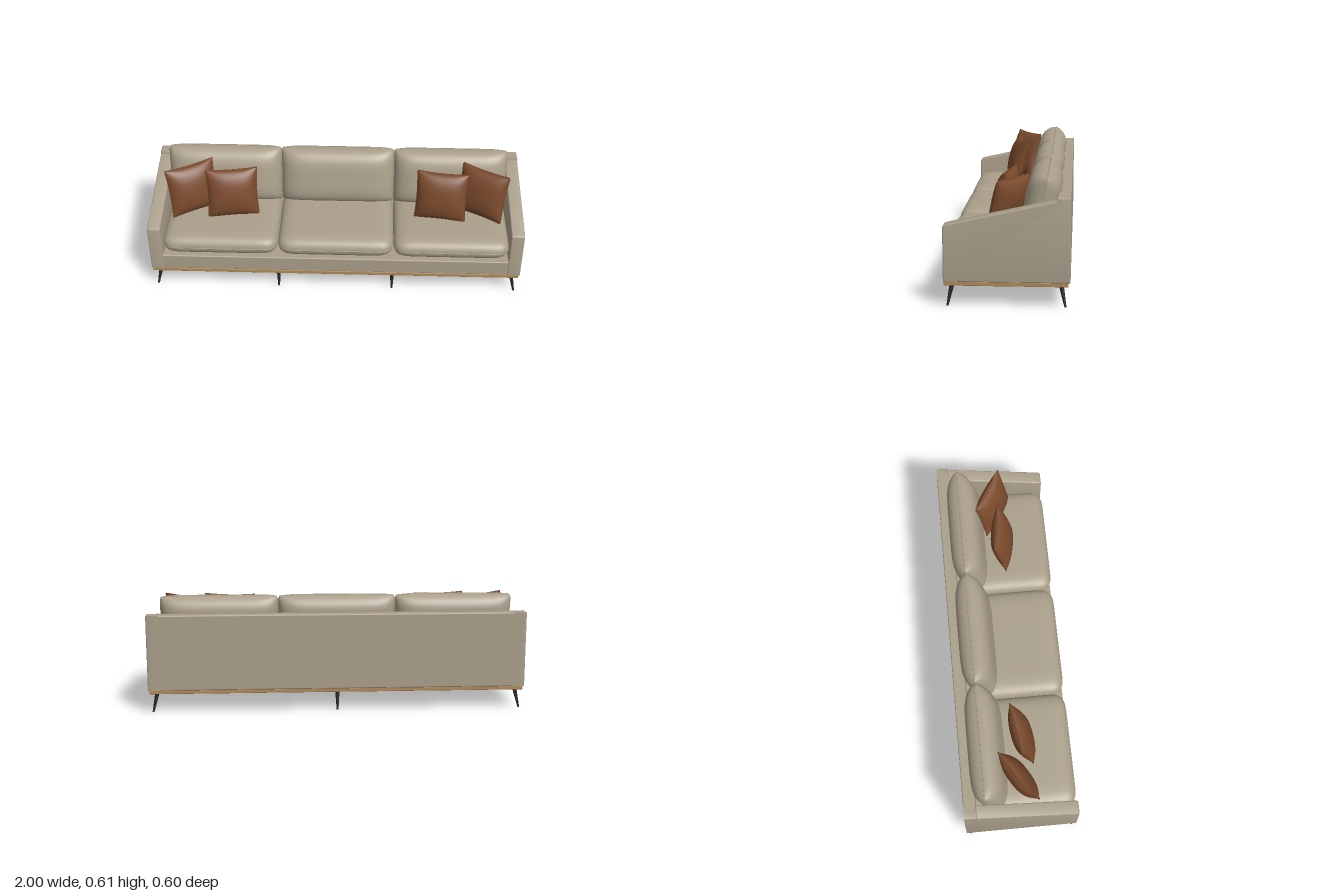
import * as THREE from 'three';
import { mergeGeometries, mergeVertices, toCreasedNormals } from 'three/addons/utils/BufferGeometryUtils.js';
import { RoundedBoxGeometry } from 'three/addons/geometries/RoundedBoxGeometry.js';

const material = (name, color) => {
  const m = new THREE.MeshStandardMaterial({ color });
  m.name = name;
  return m;
};

export function createModel() {
  const fabric = material('beige fabric', 0xaa9f8b);
  const leather = material('brown leather', 0x7a4a2c);
  const wood = material('oak wood', 0xb08a5a);
  const black = material('black metal', 0x242424);

  const sofa = new THREE.Group();
  sofa.name = 'sofa';

  const add = (parent, name, geometry, mat) => {
    const mesh = new THREE.Mesh(geometry, mat);
    mesh.name = name;
    parent.add(mesh);
    return mesh;
  };
  // Rounded box given by its limits on each axis
  const box = (name, mat, [x0, x1], [y0, y1], [z0, z1], r) => {
    const mesh = add(sofa, name, new RoundedBoxGeometry(x1 - x0, y1 - y0, z1 - z0, 3, r), mat);
    mesh.position.set((x0 + x1) / 2, (y0 + y1) / 2, (z0 + z1) / 2);
  };

  // Stuffed cushion standing in the xy plane, with piping round its seam
  function cushion(name, mat, { w, h, d, px, py, q = 0.5, pinch = 0, round = 0, pipe = 0.003 }) {
    const place = (u, v) => new THREE.Vector3(
      w / 2 * u * (1 - pinch * (1 - v * v) - round / w * 2 * Math.abs(v) ** 14),
      h / 2 * v * (1 - pinch * (1 - u * u) - round / h * 2 * Math.abs(u) ** 14),
      d / 2 * Math.max(0, (1 - Math.abs(u) ** px) * (1 - Math.abs(v) ** py)) ** q);
    const front = new THREE.PlaneGeometry(2, 2, 36, 36);
    front.deleteAttribute('uv');
    front.deleteAttribute('normal');
    const pos = front.attributes.position;
    const ease = (s) => Math.sin(s * Math.PI / 2);
    for (let i = 0; i < pos.count; i++) {
      const p = place(ease(pos.getX(i)), ease(pos.getY(i)));
      pos.setXYZ(i, p.x, p.y, p.z);
    }
    const back = front.clone().rotateY(Math.PI);
    const body = mergeVertices(mergeGeometries([front, back]), 1e-5);
    body.computeVertexNormals();

    const rim = [];
    const n = 14;
    for (let side = 0; side < 4; side++) {
      for (let i = 0; i < n; i++) {
        const s = ease(-1 + 2 * i / n);
        const [u, v] = [[s, -1], [1, s], [-s, 1], [-1, -s]][side];
        rim.push(place(u, v).setZ(0));
      }
    }
    const group = new THREE.Group();
    group.name = name;
    add(group, name + 'Body', body, mat);
    add(group, name + 'Piping',
      new THREE.TubeGeometry(new THREE.CatmullRomCurve3(rim, true), 112, pipe, 6, true), mat);
    group.rotation.order = 'YXZ';
    sofa.add(group);
    return group;
  }

  // Plinth, seat deck and backrest
  box('plinth', wood, [-0.993, 0.993], [0.1, 0.121], [-0.291, 0.293], 0.003);
  box('seatDeck', fabric, [-0.96, 0.96], [0.12, 0.208], [-0.27, 0.292], 0.006);
  box('backrest', fabric, [-0.985, 0.985], [0.12, 0.522], [-0.3, -0.237], 0.007);

  // Sloping arms, profile drawn with z across and y up
  const profile = new THREE.Shape();
  profile.moveTo(0.295, 0.12);
  profile.lineTo(0.295, 0.375);
  profile.quadraticCurveTo(0.295, 0.389, 0.28, 0.393);
  profile.lineTo(-0.235, 0.507);
  profile.lineTo(-0.238, 0.522);
  profile.lineTo(-0.3, 0.522);
  profile.lineTo(-0.3, 0.12);
  const b = 0.006;
  const armGeometry = toCreasedNormals(new THREE.ExtrudeGeometry(profile, {
    depth: 0.07 - 2 * b, bevelThickness: b, bevelSize: b, bevelOffset: -b, bevelSegments: 3, curveSegments: 6,
  }).translate(0, 0, b - 0.035).rotateY(-Math.PI / 2), 0.6);
  for (const side of [-1, 1]) {
    add(sofa, side > 0 ? 'leftArm' : 'rightArm', armGeometry, fabric).position.x = side * 0.965;
  }

  // Three seat cushions and three back cushions
  for (const x of [-0.622, 0, 0.622]) {
    const seat = cushion('seatCushion', fabric,
      { w: 0.62, h: 0.49, d: 0.116, px: 10, py: 8, round: 0.022 });
    seat.rotation.x = -Math.PI / 2;
    seat.position.set(x, 0.264, 0.05);

    const back = cushion('backCushion', fabric,
      { w: 0.62, h: 0.32, d: 0.17, px: 6, py: 4, round: 0.006 });
    back.rotation.x = -0.2;
    back.position.set(x, 0.45, -0.157);
  }

  // Two scatter pillows at each end
  for (const side of [-1, 1]) {
    for (const [name, x, z, yaw] of [['outerPillow', 0.79, 0.0, 0.54], ['innerPillow', 0.567, 0.035, 0.15]]) {
      const pillow = cushion(name, leather,
        { w: 0.275, h: 0.272, d: 0.105, px: 2.5, py: 2.5, q: 0.55, pinch: 0.05, pipe: 0.004 });
      pillow.rotation.set(-0.24, -side * yaw, 0);
      pillow.position.set(side * x, 0.452, z);
    }
  }

  // Tapered legs, splayed from the plinth to the floor
  const legs = [[0.31, 1, 0], [-0.31, 1, 0], [0, -1, 0]];
  for (const sx of [-1, 1]) for (const sz of [-1, 1]) legs.push([sx * 0.955, sz, sx]);
  for (const [x, sz, splay] of legs) {
    const leg = new THREE.CylinderGeometry(0.012, 0.005, 0.102, 16);
    const pos = leg.attributes.position;
    for (let i = 0; i < pos.count; i++) {
      const drop = 0.5 - pos.getY(i) / 0.102;
      pos.setX(i, pos.getX(i) + splay * 0.022 * drop);
      pos.setZ(i, pos.getZ(i) + sz * 0.021 * drop);
    }
    leg.computeVertexNormals();
    add(sofa, 'leg', leg, black).position.set(x, 0.051, sz * 0.256);
  }
  return sofa;
}
